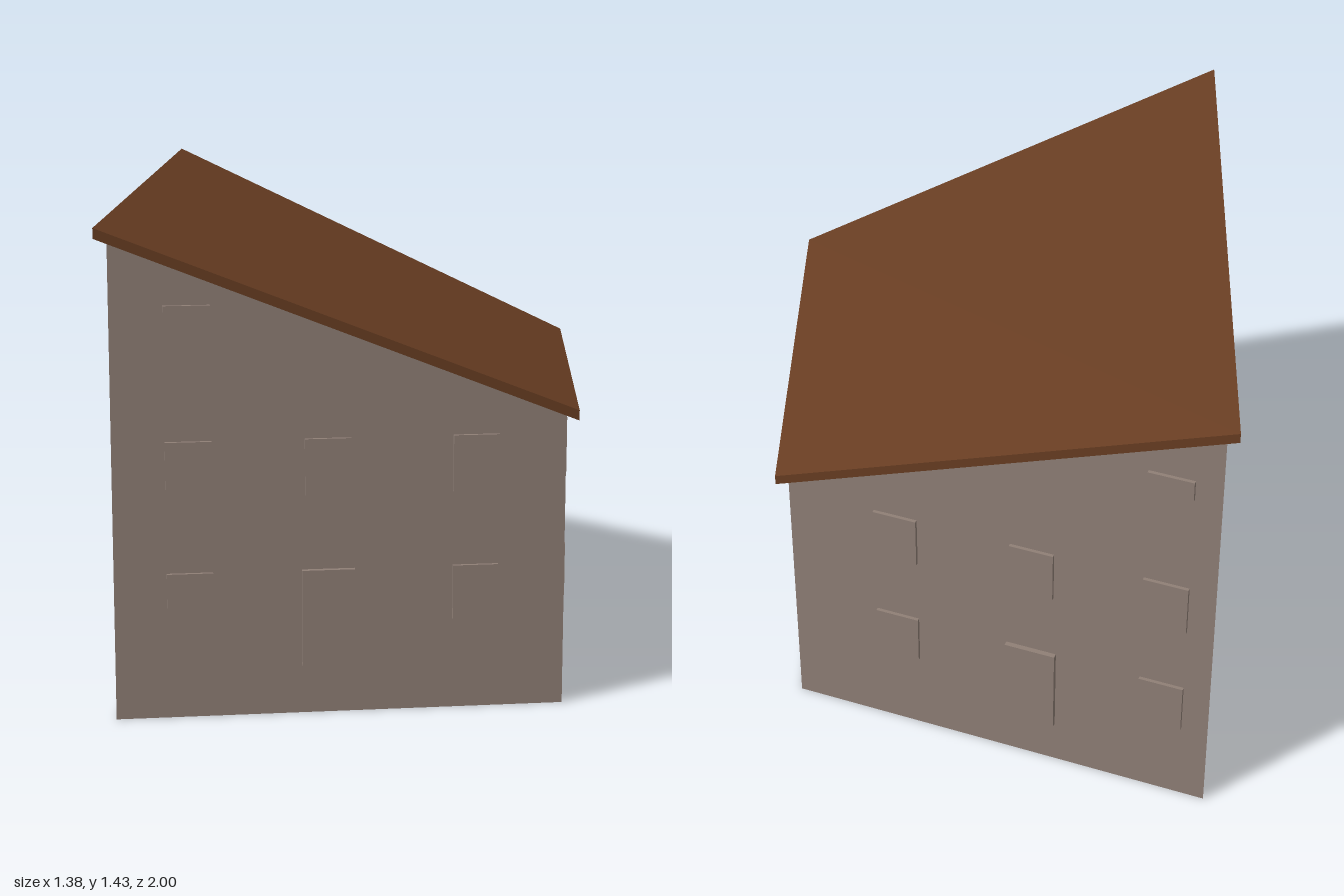
import * as THREE from 'three';

const wallMat = new THREE.MeshStandardMaterial({ color: 0x8f7f76, side: THREE.DoubleSide });
wallMat.name = 'taupe plaster';
const roofMat = new THREE.MeshStandardMaterial({ color: 0x683d22 });
roofMat.name = 'brown roof';

// Plan corners [x, z]: back left, front left, front right, back right
const WALLS = [[-0.657, -0.95], [-0.628, 0.963], [0.652, 0.722], [0.613, -0.522]];
const EAVES = [[-0.688, -1.0], [-0.66, 1.0], [0.688, 0.745], [0.648, -0.55]];

// Four flat sides between two outlines, with optional top and bottom caps
function prism(name, plan, bottoms, tops, capped, material) {
  const low = plan.map(([x, z], i) => [x, bottoms[i], z]);
  const high = plan.map(([x, z], i) => [x, tops[i], z]);
  const pos = [];
  const quad = (a, b, c, d) => pos.push(...a, ...b, ...c, ...a, ...c, ...d);
  if (capped) {
    quad(...high);
    quad(...[...low].reverse());
  }
  for (let i = 0; i < 4; i++) {
    const j = (i + 1) % 4;
    quad(low[i], low[j], high[j], high[i]);
  }
  const geo = new THREE.BufferGeometry();
  geo.setAttribute('position', new THREE.Float32BufferAttribute(pos, 3));
  geo.computeVertexNormals();
  const mesh = new THREE.Mesh(geo, material);
  mesh.name = name;
  return mesh;
}

// Panels through one wall; each is [name, from, to, bottom, top, relief],
// measured along the given axis (0 = x, 1 = z)
function wallPanels(name, p, q, axis, panels) {
  const group = new THREE.Group();
  group.name = name;
  const dx = q[0] - p[0], dz = q[1] - p[1], length = Math.hypot(dx, dz);
  group.position.set(p[0], 0, p[1]);
  group.rotation.y = -Math.atan2(dz, dx);
  const along = (v) => ((v - p[axis]) / (q[axis] - p[axis])) * length;
  for (const [label, from, to, y0, y1, relief] of panels) {
    const a = along(from), b = along(to);
    const panel = new THREE.Mesh(new THREE.BoxGeometry(Math.abs(b - a), y1 - y0, relief * 2), wallMat);
    panel.position.set((a + b) / 2, (y0 + y1) / 2, 0);
    panel.name = label;
    group.add(panel);
  }
  return group;
}

const LOWER = [0.27, 0.43], UPPER = [0.65, 0.815], ATTIC = [1.14, 1.205];
const TRANSOM = [0.48, 0.545], DOOR = [0.145, 0.43];
const win = (from, to, level) => ['window', from, to, ...level, 0.011];
const door = (from, to) => ['door', from, to, ...DOOR, 0.016];

export function createModel() {
  const house = new THREE.Group();
  house.name = 'house';
  const [backLeft, frontLeft, frontRight, backRight] = WALLS;

  // Hollow wall shell, open underneath, and sloping roof slab
  house.add(prism('walls', WALLS, [0, 0, 0, 0], [1.395, 1.384, 0.868, 0.876], false, wallMat));
  house.add(prism('roof', EAVES, [1.4, 1.4, 0.853, 0.853], [1.43, 1.43, 0.883, 0.883], true, roofMat));

  // Front openings
  house.add(wallPanels('frontOpenings', frontLeft, frontRight, 0, [
    win(-0.48, -0.35, LOWER), win(-0.48, -0.35, UPPER), win(-0.48, -0.35, ATTIC),
    win(-0.09, 0.04, UPPER),
    win(0.33, 0.46, LOWER), win(0.33, 0.46, UPPER),
    door(-0.1, 0.05),
  ]));

  // Low side: double door with two transom lights and four windows
  house.add(wallPanels('sideOpenings', frontRight, backRight, 1, [
    win(0.53, 0.4, LOWER), win(0.53, 0.4, UPPER),
    win(-0.225, -0.355, LOWER), win(-0.225, -0.355, UPPER),
    win(0.175, 0.031, TRANSOM), win(0.01, -0.12, TRANSOM),
    door(0.175, 0.031), door(0.025, -0.12),
  ]));

  // Back openings
  house.add(wallPanels('backOpenings', backRight, backLeft, 0, [
    win(0.35, 0.22, LOWER), win(0.35, 0.22, UPPER),
    win(-0.06, -0.19, UPPER),
    win(-0.45, -0.58, LOWER), win(-0.45, -0.58, UPPER), win(-0.45, -0.58, ATTIC),
    door(-0.05, -0.2),
  ]));

  return house;
}
